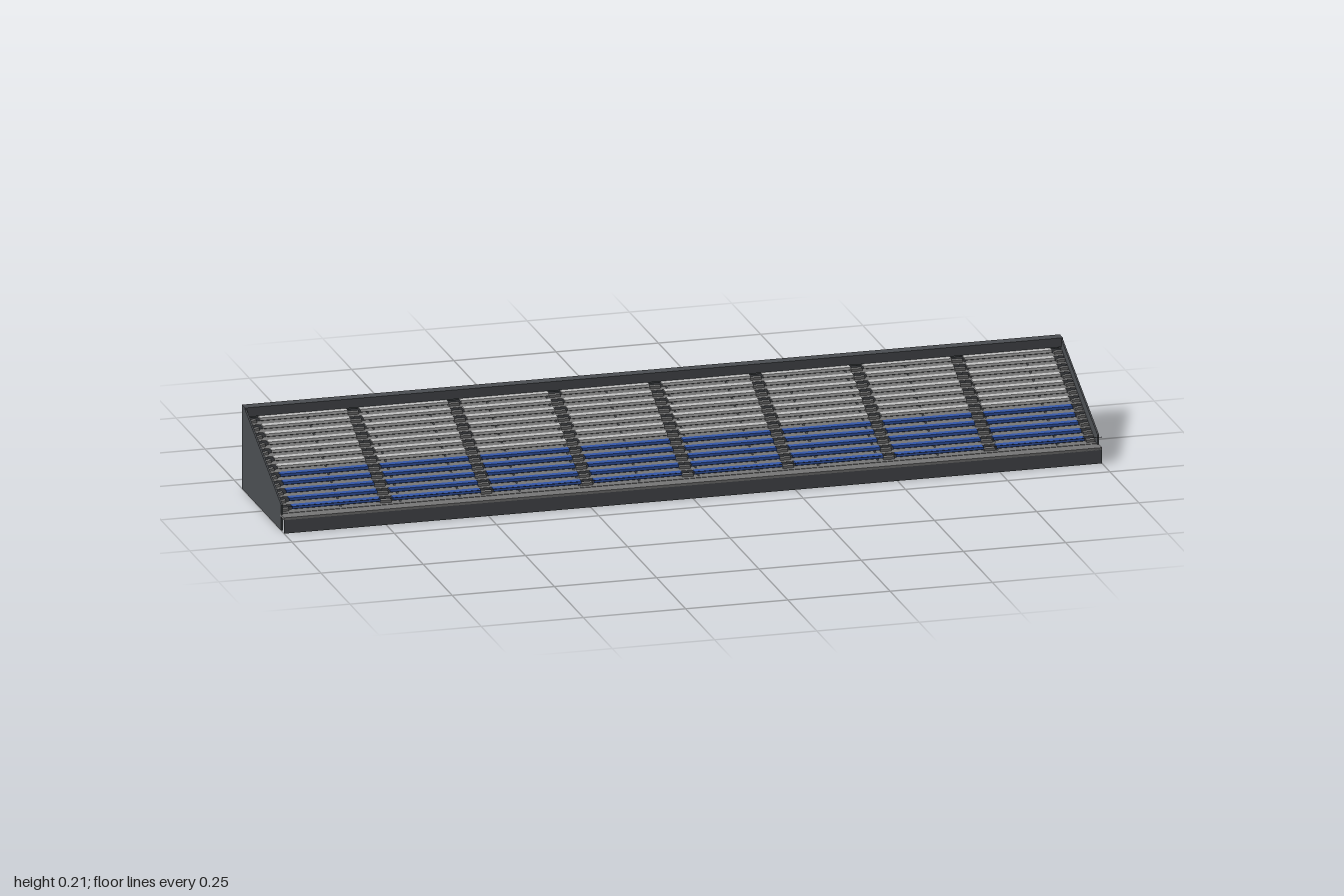
import * as THREE from 'three';

const mat = (name, color) => {
  const m = new THREE.MeshStandardMaterial({ color });
  m.name = name;
  return m;
};

export function createModel() {
  const root = new THREE.Group();
  root.name = 'grandstand';
  const panelMat = mat('dark slate panel', 0x4b4e52);
  const deckMat = mat('deck grey', 0x777777);
  const greyMat = mat('light grey seat', 0xc4c4c4);
  const blueMat = mat('blue seat', 0x3458ac);
  const steelMat = mat('frame steel', 0x4a4c4e);

  const group = (name) => {
    const g = new THREE.Group();
    g.name = name;
    root.add(g);
    return g;
  };
  // Box given by its size and centre
  const box = (parent, name, m, w, h, d, x, y, z) => {
    const b = new THREE.Mesh(new THREE.BoxGeometry(w, h, d), m);
    b.name = name;
    b.position.set(x, y, z);
    parent.add(b);
    return b;
  };
  // Square bar between two points
  const bar = (parent, name, a, b, t = 0.003, m = steelMat) => {
    const from = new THREE.Vector3(...a), to = new THREE.Vector3(...b);
    const r = box(parent, name, m, t, t, from.distanceTo(to), 0, 0, 0);
    r.position.copy(from).add(to).multiplyScalar(0.5);
    r.lookAt(to);
    return r;
  };

  const ROWS = 12, BLUE_ROWS = 5, RUN = 0.0254, RISE = 0.012;
  const FRONT = 0.15, BASE = 0.04, BACK = -0.182;
  const AISLE_PITCH = 0.246, SEAT_W = 0.215;
  const rowZ = (i) => FRONT - i * RUN;
  const rowY = (i) => BASE + i * RISE;

  // Closed side walls
  const outline = new THREE.Shape([
    [-0.157, 0], [0.182, 0], [0.182, 0.207], [0.155, 0.207], [0.155, 0.203], [-0.157, 0.063],
  ].map(([a, b]) => new THREE.Vector2(a, b)));
  const wallGeo = new THREE.ExtrudeGeometry(outline, { depth: 0.004, bevelEnabled: false });
  wallGeo.rotateY(-Math.PI / 2);
  wallGeo.translate(0, 0, 0);
  for (const s of [-1, 1]) {
    const wall = new THREE.Mesh(wallGeo, panelMat);
    wall.name = s > 0 ? 'leftSideWall' : 'rightSideWall';
    wall.scale.z = -1;
    wall.geometry = wallGeo.clone().scale(1, 1, -1);
    // Restore the winding after mirroring front to back
    const p = wall.geometry.attributes.position;
    for (let i = 0; i < p.count; i += 3) {
      const b = new THREE.Vector3().fromBufferAttribute(p, i + 1);
      const c = new THREE.Vector3().fromBufferAttribute(p, i + 2);
      p.setXYZ(i + 1, c.x, c.y, c.z);
      p.setXYZ(i + 2, b.x, b.y, b.z);
    }
    wall.geometry.computeVertexNormals();
    wall.scale.z = 1;
    // The profile runs front to back, so its front must land at +z
    const zs = new THREE.Box3().setFromBufferAttribute(p);
    if (zs.max.z > 0.17) wall.rotation.y = Math.PI;
    const left = wall.rotation.y ? 0 : -0.004;
    wall.position.x = s > 0 ? 1 - (left + 0.004) : -1 - left;
    root.add(wall);
  }

  // Front walkway, its skirt and the thin rail
  const walk = group('frontWalkway');
  box(walk, 'walkwayDeck', deckMat, 2, 0.006, 0.037, 0, 0.036, 0.1635);
  box(walk, 'frontSkirt', panelMat, 2, 0.039, 0.001, 0, 0.0195, 0.1815);
  box(walk, 'frontRail', steelMat, 2, 0.001, 0.001, 0, 0.065, 0.1815);

  // Back beam
  const back = group('backBeam');
  box(back, 'rearFascia', panelMat, 2, 0.037, 0.002, 0, 0.1885, BACK + 0.001);
  box(back, 'topCap', panelMat, 2, 0.003, 0.027, 0, 0.2055, -0.1685);
  box(back, 'innerFascia', panelMat, 2, 0.02, 0.002, 0, 0.194, -0.157);

  // Stepped decks with risers, seats between the aisles
  const terrace = group('terrace');
  const seats = group('seats');
  const steps = group('aisleSteps');
  for (let i = 0; i < ROWS; i++) {
    const z = rowZ(i), y = rowY(i);
    box(terrace, 'deckPlank', deckMat, 1.99, 0.002, RUN, 0, y - 0.001, z - RUN / 2);
    box(terrace, 'riser', panelMat, 1.99, RISE, 0.001, 0, y + RISE / 2 - 0.001, z - RUN + 0.0005);
    const m = i < BLUE_ROWS ? blueMat : greyMat;
    for (let k = 0; k < 8; k++) {
      const x = (k - 3.5) * AISLE_PITCH;
      box(seats, 'seatPlank', m, SEAT_W, 0.003, 0.017, x, y + 0.0115, z - 0.0165);
      box(seats, 'seatFront', m, SEAT_W, 0.005, 0.002, x, y + 0.0085, z - 0.009);
    }
    for (let k = -4; k <= 4; k++) {
      const end = Math.abs(k) === 4;
      box(steps, 'step', deckMat, end ? 0.02 : 0.027, RISE / 2, RUN / 2,
        end ? Math.sign(k) * 0.985 : k * AISLE_PITCH, y + RISE / 4, z - RUN * 0.75);
    }
  }

  // Support frames under the terrace
  const frame = group('supportFrame');
  const under = (z) => BASE - 0.006 + (FRONT - z) * RISE / RUN;
  const BAY = 0.146, zBack = BACK + 0.004;
  const postX = (k) => Math.min(-0.995 + k * BAY, 0.995);
  for (let k = 0; k <= 14; k++) {
    const x = postX(k);
    bar(frame, 'stringer', [x, under(0.15), 0.15], [x, under(-0.155), -0.155], 0.004);
    bar(frame, 'backPost', [x, 0, zBack], [x, 0.19, zBack]);
    for (const z of [-0.07, 0.05]) bar(frame, 'innerPost', [x, 0, z], [x, under(z), z]);
    bar(frame, 'crossTie', [x, 0.06, zBack], [x, 0.06, 0.07], 0.002);
    // Diagonal braces in every other bay
    if (k % 2 === 0 && k < 14) {
      const x2 = postX(k + 1);
      bar(frame, 'brace', [x, 0.01, zBack], [x2, 0.17, zBack], 0.002);
      bar(frame, 'brace', [x, 0.17, zBack], [x2, 0.01, zBack], 0.002);
    }
  }
  for (const [y, z] of [[0.06, zBack], [0.12, zBack], [0.06, -0.07], [0.06, 0.05]]) {
    box(frame, 'longRail', steelMat, 1.99, 0.002, 0.002, 0, y, z);
  }
  return root;
}
